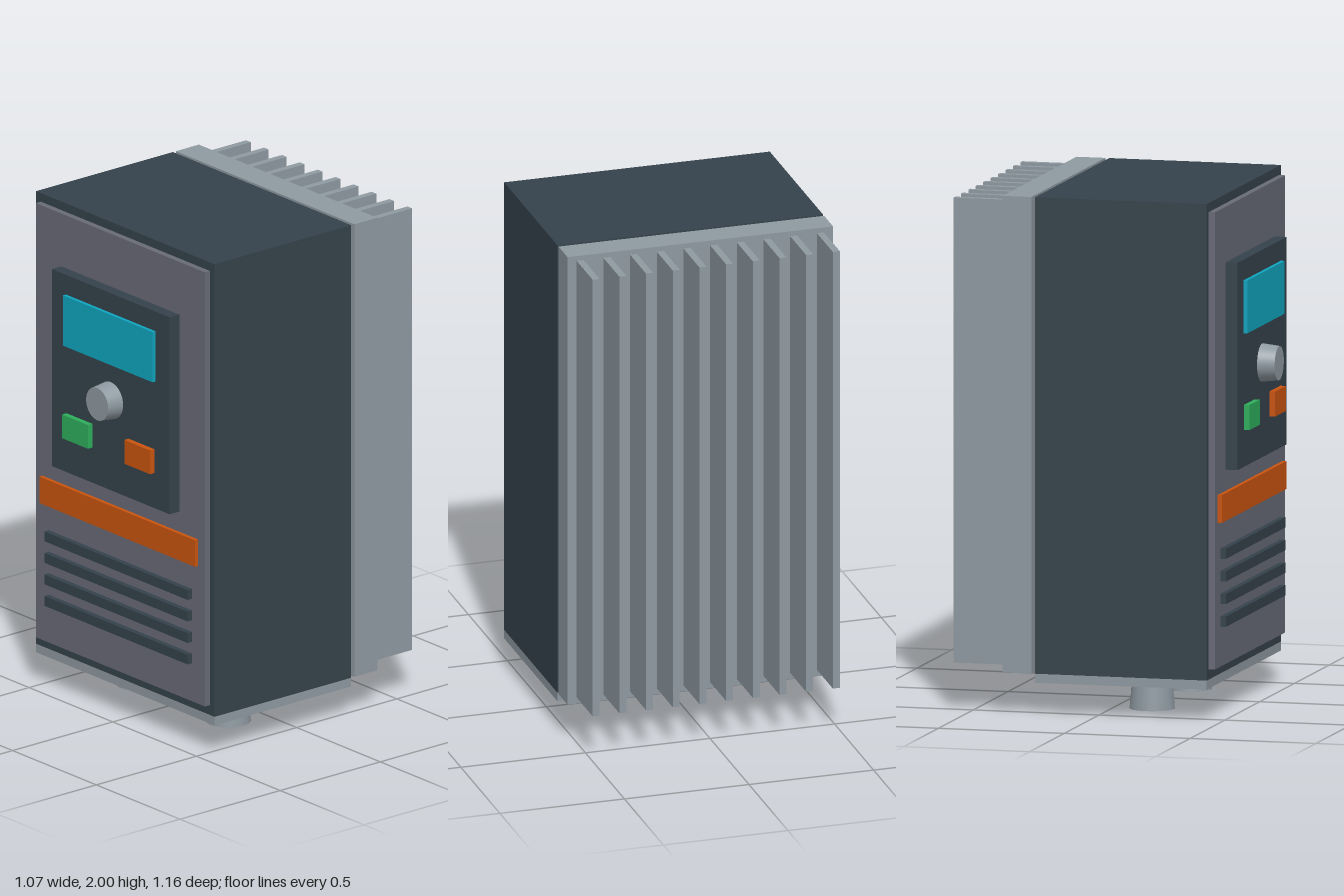
import * as THREE from 'three';

const mat = (name, color) => {
  const m = new THREE.MeshStandardMaterial({ color });
  m.name = name;
  return m;
};

export function createModel() {
  const dark = mat('dark slate', 0x35424b);
  const grey = mat('panel grey', 0x686a77);
  const metal = mat('metal grey', 0x8e99a1);
  const cyan = mat('screen cyan', 0x0fa4be);
  const green = mat('green', 0x2eae5c);
  const orange = mat('orange', 0xca540f);

  const model = new THREE.Group();
  model.name = 'motorDrive';

  const add = (name, geometry, material, x, y, z) => {
    const mesh = new THREE.Mesh(geometry, material);
    mesh.name = name;
    mesh.position.set(x, y, z);
    model.add(mesh);
    return mesh;
  };
  // Box given by its minimum and maximum on each axis
  const box = (name, material, x0, x1, y0, y1, z0, z1) =>
    add(name, new THREE.BoxGeometry(x1 - x0, y1 - y0, z1 - z0), material,
      (x0 + x1) / 2, (y0 + y1) / 2, (z0 + z1) / 2);

  // Housing and bottom plate
  box('housing', dark, -0.533, 0.533, 0.155, 2, -0.245, 0.437);
  box('bottomPlate', metal, -0.533, 0.533, 0.12, 0.155, -0.245, 0.437);

  // Heat sink: back plate with ten upright fins
  box('heatSinkPlate', metal, -0.533, 0.533, 0.155, 2, -0.375, -0.26);
  for (let i = 0; i < 10; i++) {
    const x = -0.482 + i * 0.1071;
    box('heatSinkFin', metal, x - 0.014, x + 0.014, 0.18, 1.98, -0.58, -0.375);
  }

  // Front cover and keypad
  box('frontCover', grey, -0.505, 0.505, 0.195, 1.965, 0.437, 0.462);
  box('keypad', dark, -0.352, 0.352, 0.947, 1.75, 0.462, 0.51);
  box('screen', cyan, -0.268, 0.268, 1.465, 1.67, 0.51, 0.525);
  box('startButton', green, -0.264, -0.11, 1.09, 1.187, 0.51, 0.532);
  box('stopButton', orange, 0.107, 0.261, 1.09, 1.187, 0.51, 0.532);
  add('knob', new THREE.CylinderGeometry(0.066, 0.074, 0.068, 32), metal, 0, 1.314, 0.544)
    .rotation.x = Math.PI / 2;

  // Accent stripe and vent bars
  box('accentStripe', orange, -0.465, 0.465, 0.757, 0.865, 0.462, 0.478);
  for (let i = 0; i < 4; i++) {
    const y = 0.37 + i * 0.0877;
    box('ventBar', dark, -0.428, 0.428, y - 0.02, y + 0.02, 0.462, 0.484);
  }

  // Cable glands below
  for (const side of [-1, 1]) {
    add('cableGland', new THREE.CylinderGeometry(0.077, 0.087, 0.12, 32), metal,
      side * 0.267, 0.06, 0.147);
  }
  return model;
}
